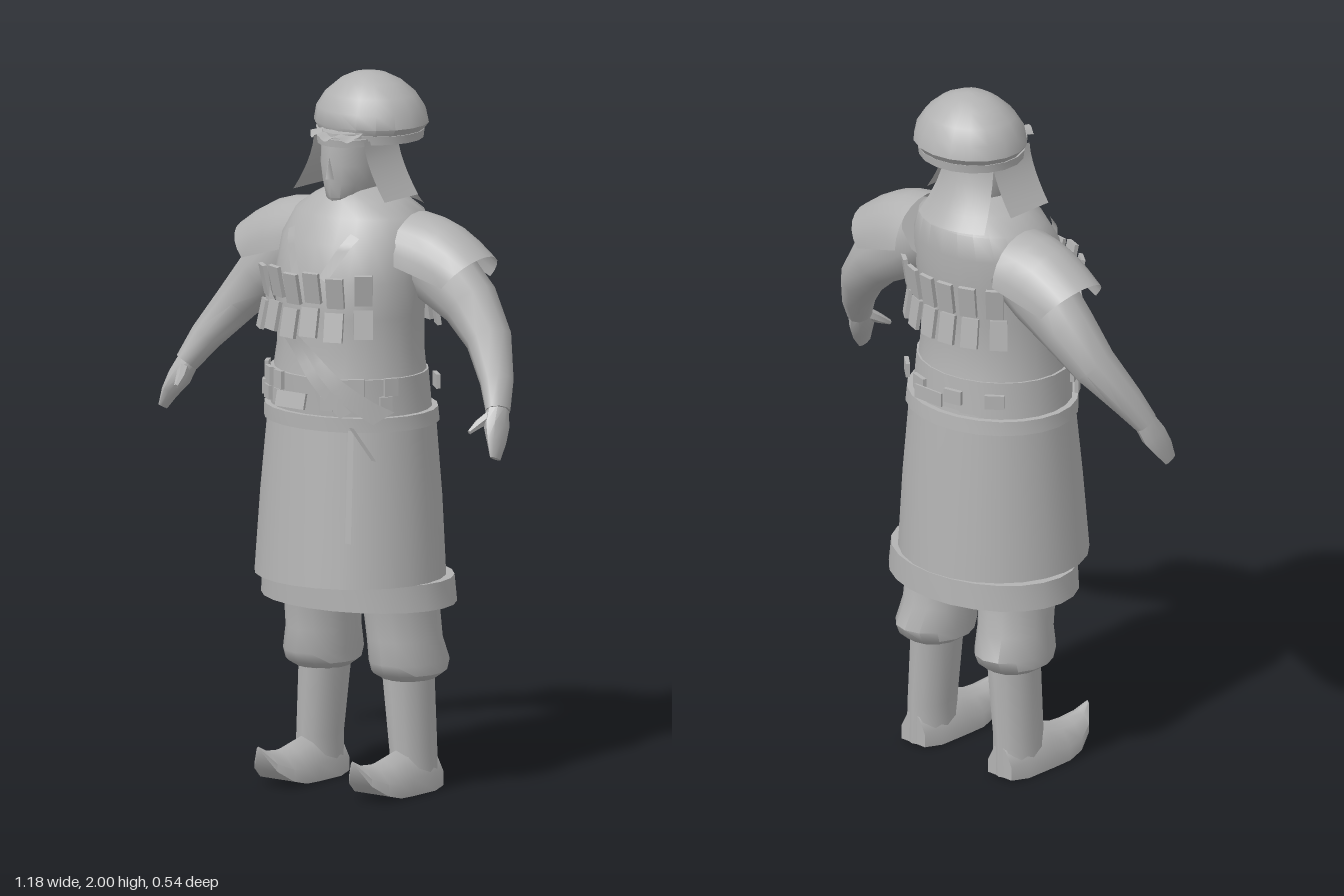
import * as THREE from 'three';
import { toCreasedNormals } from 'three/addons/utils/BufferGeometryUtils.js';

const V = (x, y, z) => new THREE.Vector3(x, y, z);
const grey = new THREE.MeshStandardMaterial({ color: 0xb2b2b2, side: THREE.DoubleSide });
grey.name = 'plain grey';

function build(points, index) {
  const g = new THREE.BufferGeometry().setFromPoints(points);
  g.setIndex(index);
  g.computeVertexNormals();
  return toCreasedNormals(g, 0.75);
}

// Closed skin through rings of points, turned so it always faces outward
function loft(rings) {
  const n = rings[0].length, pts = rings.flat(), idx = [];
  for (let i = 0; i < rings.length - 1; i++) for (let j = 0; j < n; j++) {
    const a = i * n + j, b = i * n + (j + 1) % n;
    idx.push(a, b, a + n, b, b + n, a + n);
  }
  for (const [k, flip] of [[0, true], [rings.length - 1, false]]) {
    const c = pts.length;
    pts.push(rings[k].reduce((s, p) => s.add(p), V(0, 0, 0)).divideScalar(n));
    for (let j = 0; j < n; j++) {
      const a = k * n + j, b = k * n + (j + 1) % n;
      idx.push(c, flip ? b : a, flip ? a : b);
    }
  }
  let volume = 0;
  for (let i = 0; i < idx.length; i += 3)
    volume += pts[idx[i]].dot(pts[idx[i + 1]].clone().cross(pts[idx[i + 2]]));
  if (volume < 0) idx.reverse();
  return build(pts, idx);
}

// Level oval rings: [y, centre x, half width, front z, back z]
const ovals = (rows, n = 20) => loft(rows.map(([y, cx, rx, f, b]) =>
  Array.from({ length: n }, (_, j) => {
    const a = j / n * Math.PI * 2;
    return V(cx + rx * Math.sin(a), y, (f + b) / 2 + (f - b) / 2 * Math.cos(a));
  })));

// Tube along a path: [x, y, z, half width across, half depth]
const limb = (rows, n = 10) => loft(rows.map(([x, y, z, r, d], i) => {
  const p = rows[Math.max(0, i - 1)], q = rows[Math.min(rows.length - 1, i + 1)];
  const t = V(q[0] - p[0], q[1] - p[1], q[2] - p[2]).normalize();
  const u = V(0, 0, 1).addScaledVector(t, -t.z).normalize(), w = t.clone().cross(u);
  return Array.from({ length: n }, (_, j) => {
    const a = j / n * Math.PI * 2;
    return V(x, y, z).addScaledVector(w, r * Math.cos(a)).addScaledVector(u, d * Math.sin(a));
  });
}));

// Open sheet from a rule (u, v) -> point
function sheet(rule, nu, nv) {
  const pts = [], idx = [];
  for (let i = 0; i <= nu; i++) for (let j = 0; j <= nv; j++) pts.push(rule(i / nu, j / nv));
  for (let i = 0; i < nu; i++) for (let j = 0; j < nv; j++) {
    const a = i * (nv + 1) + j, c = a + nv + 1;
    idx.push(a, a + 1, c, a + 1, c + 1, c);
  }
  return build(pts, idx);
}

const TORSO = [
  [1.04, 0, 0.235, 0.19, -0.22], [1.19, 0, 0.22, 0.19, -0.2], [1.25, 0, 0.215, 0.175, -0.19],
  [1.35, 0, 0.215, 0.185, -0.195], [1.45, 0, 0.225, 0.175, -0.205], [1.55, 0, 0.22, 0.145, -0.215],
  [1.62, 0, 0.19, 0.105, -0.21], [1.66, 0, 0.13, 0.075, -0.17], [1.69, 0, 0.07, 0.045, -0.13],
];

// Point and facing angle on the torso; dir is 1 for front, -1 for back
function onTorso(x, y, dir, lift) {
  let i = 0;
  while (i < TORSO.length - 2 && TORSO[i + 1][0] < y) i++;
  const k = THREE.MathUtils.clamp((y - TORSO[i][0]) / (TORSO[i + 1][0] - TORSO[i][0]), 0, 1);
  const [, , rx, f, b] = TORSO[i].map((v, j) => v + (TORSO[i + 1][j] - v) * k);
  const rz = (f - b) / 2, s = THREE.MathUtils.clamp(x / rx, -0.98, 0.98);
  const c = dir * Math.sqrt(1 - s * s), angle = Math.atan2(s / rx, c / rz);
  return { angle, p: V(rx * s + lift * Math.sin(angle), y, (f + b) / 2 + rz * c + lift * Math.cos(angle)) };
}

export function createModel() {
  const model = new THREE.Group();
  const add = (name, geometry) => {
    const m = new THREE.Mesh(geometry, grey);
    m.name = name;
    model.add(m);
    return m;
  };
  const plate = (name, x, y, w, h, dir = 1, lift = 0.02, tilt = 0, depth = 0.012) => {
    const { angle, p } = onTorso(x, y, dir, lift);
    const m = add(name, new THREE.BoxGeometry(w, h, depth));
    m.position.copy(p);
    m.rotation.set(tilt, angle, 0, 'YXZ');
  };
  // Flat band that follows the torso between two points
  const strap = (name, x0, y0, x1, y1, w, lift) => {
    const d = V(x1 - x0, y1 - y0, 0).normalize();
    add(name, sheet((u, v) => onTorso(x0 + (x1 - x0) * u - d.y * w * (v - 0.5),
      y0 + (y1 - y0) * u + d.x * w * (v - 0.5), 1, lift).p, 12, 2));
  };

  // Body and robe
  add('torso', ovals(TORSO, 24));
  add('waistSash', ovals([[1.07, 0, 0.235, 0.195, -0.215], [1.185, 0, 0.228, 0.2, -0.205]], 24));
  add('belt', ovals([[1.04, 0, 0.255, 0.21, -0.235], [1.08, 0, 0.252, 0.21, -0.23]], 24));
  add('skirt', ovals([[0.605, 0, 0.272, 0.25, -0.262], [0.83, 0, 0.262, 0.225, -0.245],
    [1.05, 0, 0.245, 0.2, -0.225]], 24));
  add('hem', ovals([[0.53, 0, 0.295, 0.18, -0.27], [0.605, 0, 0.288, 0.18, -0.265]], 24));

  // Head
  add('head', ovals([[1.6, 0, 0.065, 0.03, -0.13], [1.645, 0, 0.035, 0.065, -0.13],
    [1.67, 0, 0.055, 0.082, -0.13], [1.71, 0, 0.073, 0.085, -0.13],
    [1.76, 0, 0.08, 0.09, -0.135], [1.85, 0, 0.083, 0.08, -0.14]], 14));
  const nose = add('nose', new THREE.ConeGeometry(0.016, 0.06, 4));
  nose.position.set(0, 1.755, 0.088);

  // Helmet, its rim and the scalloped visor
  add('helmet', ovals([[1.84, 0, 0.15, 0.04, -0.235], [1.86, 0, 0.165, 0.05, -0.25],
    [1.9, 0, 0.158, 0.042, -0.24], [1.94, 0, 0.132, 0.018, -0.215], [1.975, 0, 0.09, -0.02, -0.175],
    [1.993, 0, 0.05, -0.05, -0.14], [2, 0, 0.012, -0.085, -0.105]], 18));
  add('helmetRim', ovals([[1.818, 0, 0.152, 0.045, -0.235], [1.842, 0, 0.155, 0.048, -0.238]], 18));
  add('visor', sheet((u, v) => {
    const a = (u - 0.5) * 1.9;
    return V((0.085 + 0.02 * v) * Math.sin(a), 1.852 - 0.012 * v + 0.008 * Math.cos(u * Math.PI * 6) * v,
      0.0 + (0.04 + 0.07 * v) * Math.cos(a));
  }, 18, 2));
  add('browBand', ovals([[1.815, 0, 0.088, 0.09, -0.1], [1.835, 0, 0.088, 0.092, -0.1]], 16));

  // Neck cloth hanging behind
  add('neckCloth', sheet((u, v) => {
    const s = u * 2 - 1;
    return V(s * (0.09 + 0.035 * v * v), 1.83 - 0.2 * v, -0.145 - 0.075 * v * v + 0.045 * s * s);
  }, 8, 5));

  for (const s of [1, -1]) {
    const side = s > 0 ? 'left' : 'right';
    add(side + 'CheekFlap', sheet((u, v) =>
      V(s * (0.088 + 0.072 * v ** 1.6), 1.83 - 0.16 * v, 0.045 - 0.15 * u), 2, 6));

    // Arm, hand and thumb
    add(side + 'Arm', limb([[s * 0.17, 1.53, -0.085, 0.1, 0.095], [s * 0.26, 1.465, -0.085, 0.1, 0.09],
      [s * 0.36, 1.39, -0.085, 0.08, 0.082], [s * 0.44, 1.3, -0.065, 0.062, 0.068],
      [s * 0.51, 1.2, -0.01, 0.045, 0.05], [s * 0.545, 1.13, 0.03, 0.033, 0.037]]));
    add(side + 'Hand', limb([[s * 0.54, 1.14, 0.025, 0.03, 0.033], [s * 0.555, 1.09, 0.05, 0.03, 0.042],
      [s * 0.572, 1.05, 0.072, 0.018, 0.036], [s * 0.582, 1.01, 0.09, 0.008, 0.022]], 8));
    add(side + 'Thumb', limb([[s * 0.54, 1.125, 0.045, 0.016, 0.02], [s * 0.522, 1.1, 0.085, 0.014, 0.014],
      [s * 0.513, 1.08, 0.118, 0.006, 0.007]], 6));

    // Open arched shoulder guard
    add(side + 'ShoulderGuard', sheet((u, v) => {
      const a = u * Math.PI, h = Math.sin(a);
      return V(s * THREE.MathUtils.lerp(0.185, 0.35 + 0.07 * h, v),
        THREE.MathUtils.lerp(1.5 + 0.13 * h, 1.45 + 0.08 * h, v) + 0.025 * h * Math.sin(v * Math.PI),
        -0.075 + Math.cos(a) * (0.132 - 0.022 * v));
    }, 12, 4));

    // Trousers gathered over tall boots
    add(side + 'Trouser', ovals([[0.315, s * 0.15, 0.072, 0, -0.16], [0.335, s * 0.15, 0.1, 0.035, -0.19],
      [0.365, s * 0.15, 0.102, 0.05, -0.205], [0.43, s * 0.142, 0.1, 0.045, -0.18],
      [0.56, s * 0.137, 0.1, 0.065, -0.17]], 14));
    add(side + 'BootShaft', ovals([[0.005, s * 0.165, 0.06, 0.0, -0.16], [0.12, s * 0.163, 0.058, 0.002, -0.16],
      [0.34, s * 0.145, 0.07, 0.003, -0.16]], 12));
    // Foot sections: [z, sole y, top y, half width]
    add(side + 'BootFoot', loft([[-0.155, 0.005, 0.1, 0.045], [-0.1, 0, 0.13, 0.06], [0.0, 0.001, 0.122, 0.062],
      [0.06, 0.004, 0.105, 0.065], [0.11, 0.017, 0.1, 0.06], [0.16, 0.05, 0.105, 0.04],
      [0.195, 0.112, 0.122, 0.006]].map(([z, b, t, w]) =>
      [[-1, 0], [-1, 0.4], [-0.5, 0.85], [0, 1], [0.5, 0.85], [1, 0.4], [1, 0]]
        .map(([x, y]) => V(s * 0.165 + x * w, b + (t - b) * y, z)))));

    // Straps above the chest plates
    strap(side + 'ChestStrap', s * 0.105, 1.58, s * 0.045, 1.46, 0.028, 0.012);
  }

  // Two rows of plates on the chest and on the back
  for (let i = 0; i < 6; i++) {
    const x = (i - 2.5) * 0.06;
    const wobble = i % 2 ? 0.006 : -0.004;
    plate('chestPlateUpper', x, 1.435 + wobble, 0.049, 0.088, 1, 0.035, 0.2);
    plate('chestPlateLower', x, 1.34 + wobble, 0.053, 0.082, 1, 0.04, -0.2);
    plate('backPlateUpper', x, 1.435, 0.049, 0.09, -1, 0.03, 0.15);
    plate('backPlateLower', x, 1.34, 0.049, 0.085, -1, 0.035, -0.15);
  }

  // Diagonal sashes, belt pouches and buckles
  strap('diagonalSash', -0.17, 1.42, 0.19, 1.08, 0.045, 0.03);
  strap('narrowSash', -0.1, 1.37, 0.12, 1.09, 0.03, 0.035);
  for (const [x, w] of [[-0.2, 0.04], [-0.145, 0.045], [-0.09, 0.04], [0.075, 0.04], [0.14, 0.045], [0.2, 0.04]]) {
    plate('beltPouchUpper', x, 1.165, w, 0.05, 1, 0.018);
    plate('beltPouchLower', x * 0.97, 1.12, w * 0.9, 0.04, 1, 0.022);
  }
  for (const x of [-0.15, -0.05, 0.07, 0.16]) plate('backBeltPlate', x, 1.14, 0.055, 0.04, -1, 0.025);
  plate('buckle', 0, 1.13, 0.1, 0.045, 1, 0.07, -0.25, 0.008);
  plate('backBuckle', 0, 1.14, 0.1, 0.04, -1, 0.06, 0, 0.006);

  // Hanging cords
  const cord = (name, x0, y0, z0, x1, y1, z1, w) => add(name,
    sheet((u, v) => V(x0 + (x1 - x0) * u + w * (v - 0.5), y0 + (y1 - y0) * u, z0 + (z1 - z0) * u), 3, 1));
  cord('longCord', 0.155, 1.05, 0.19, 0.172, 0.74, 0.225, 0.02);
  cord('shortCord', 0.085, 1.04, 0.22, 0.06, 0.96, 0.23, 0.018);
  cord('sideCord', 0.16, 1.06, 0.195, 0.22, 0.97, 0.17, 0.016);
  return model;
}
